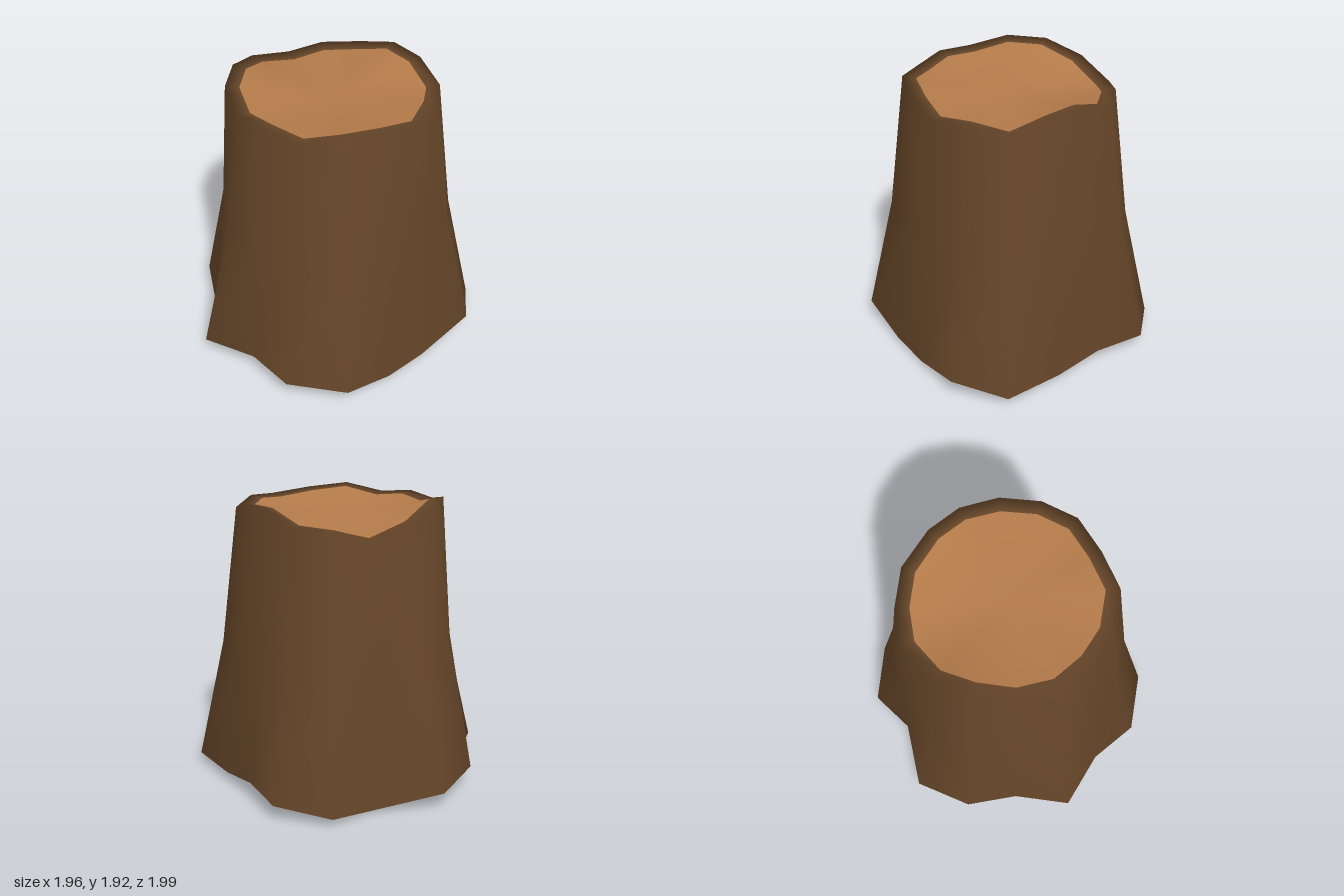
import * as THREE from 'three';

// Outlines run from the back round through the left (+x), front and right: [x, y, z]
const foot = [
  [-0.02, 0.1, -1], [0.27, 0.11, -0.78], [0.56, 0.06, -0.6], [0.91, 0.06, -0.38],
  [0.98, 0.14, 0], [0.74, 0.02, 0.34], [0.57, 0.02, 0.61], [0.37, 0.12, 0.93],
  [-0.04, 0.14, 0.99], [-0.34, 0.13, 0.8], [-0.73, 0.1, 0.71], [-0.81, 0.14, 0.33],
  [-0.98, 0.15, 0.02], [-0.94, 0.11, -0.38], [-0.53, 0.01, -0.63], [-0.4, 0.05, -0.92],
];
const rim = [
  [-0.02, 1.84, -0.69], [0.24, 1.92, -0.6], [0.45, 1.91, -0.47], [0.63, 1.84, -0.27],
  [0.67, 1.88, 0], [0.64, 1.86, 0.25], [0.45, 1.89, 0.46], [0.24, 1.91, 0.64],
  [-0.02, 1.86, 0.68], [-0.27, 1.89, 0.62], [-0.48, 1.87, 0.49], [-0.64, 1.92, 0.27],
  [-0.69, 1.92, 0], [-0.66, 1.85, -0.27], [-0.49, 1.77, -0.53], [-0.28, 1.82, -0.64],
];
const N = foot.length;

const inset = (ring, scale, dy) => ring.map(([x, y, z]) => [x * scale, y + dy, z * scale]);

function makeGeometry(points, index) {
  const g = new THREE.BufferGeometry();
  g.setAttribute('position', new THREE.Float32BufferAttribute(points.flat(), 3));
  g.setIndex(index);
  g.computeVertexNormals();
  return g;
}

// Skin through a stack of rings, lowest first
function loft(rings) {
  const index = [];
  for (let r = 0; r < rings.length - 1; r++) {
    for (let i = 0; i < N; i++) {
      const a = r * N + i, b = r * N + (i + 1) % N;
      index.push(b, a, a + N, b, a + N, b + N);
    }
  }
  return makeGeometry(rings.flat(), index);
}

// Fan that closes a ring, facing up or down
function cap(ring, y, up) {
  const index = [];
  for (let i = 0; i < N; i++) {
    const j = (i + 1) % N;
    index.push(N, up ? j : i, up ? i : j);
  }
  return makeGeometry([...ring, [0, y, 0]], index);
}

export function createModel() {
  const bark = new THREE.MeshStandardMaterial({ color: 0x664629 });
  bark.name = 'bark';
  const wood = new THREE.MeshStandardMaterial({ color: 0xb47b4a });
  wood.name = 'cut wood';

  const waist = foot.map((p, i) => p.map((v, k) =>
    THREE.MathUtils.lerp(v, rim[i][k], k === 1 ? 0.475 : 0.62)));
  const footInner = inset(foot, 0.93, -0.01);
  const rimInner = inset(rim, 0.87, -0.015);

  const group = new THREE.Group();
  group.name = 'treeStump';
  const add = (name, geometry, material) => {
    const mesh = new THREE.Mesh(geometry, material);
    mesh.name = name;
    group.add(mesh);
  };
  // Flared trunk with rounded lips, then the two cut faces
  add('barkTrunk', loft([footInner, foot, waist, rim, rimInner]), bark);
  add('cutTop', cap(rimInner, 1.79, true), wood);
  add('cutUnderside', cap(footInner, 0.07, false), wood);
  return group;
}
